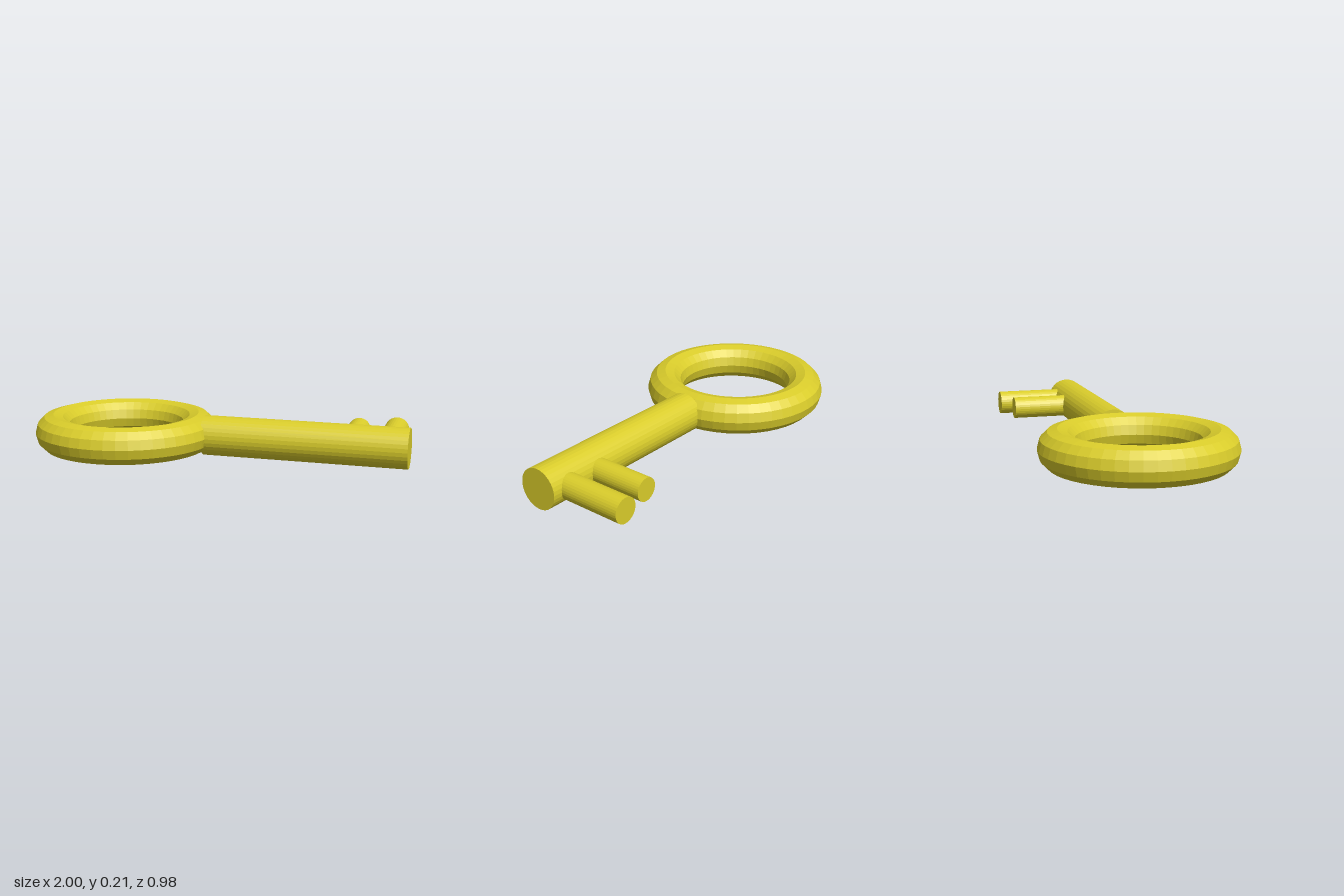
import * as THREE from 'three';

export function createModel() {
  const key = new THREE.Group();
  key.name = 'key';
  const material = new THREE.MeshStandardMaterial({ color: 0xdacd2b, flatShading: true });
  const axisY = 0.105; // height of the key's middle plane

  const add = (name, geometry, x, z) => {
    const mesh = new THREE.Mesh(geometry, material);
    mesh.name = name;
    mesh.position.set(x, axisY, z);
    key.add(mesh);
  };

  // Ring handle, lying flat
  add('bow', new THREE.TorusGeometry(0.39, 0.0975, 12, 48).rotateX(Math.PI / 2), -0.515, 0);

  // Round shaft along x, starting inside the ring
  const start = -0.07, end = 1;
  add('shaft', new THREE.CylinderGeometry(0.105, 0.105, end - start, 32).rotateZ(Math.PI / 2), (start + end) / 2, 0);

  // Two round teeth pointing back from the shaft
  const teeth = [
    ['innerTooth', 0.69, 0.06, 0.385],
    ['outerTooth', 0.887, 0.065, 0.435],
  ];
  for (const [name, x, radius, length] of teeth) {
    add(name, new THREE.CylinderGeometry(radius, radius, length, 32).rotateX(Math.PI / 2), x, -length / 2);
  }
  return key;
}
